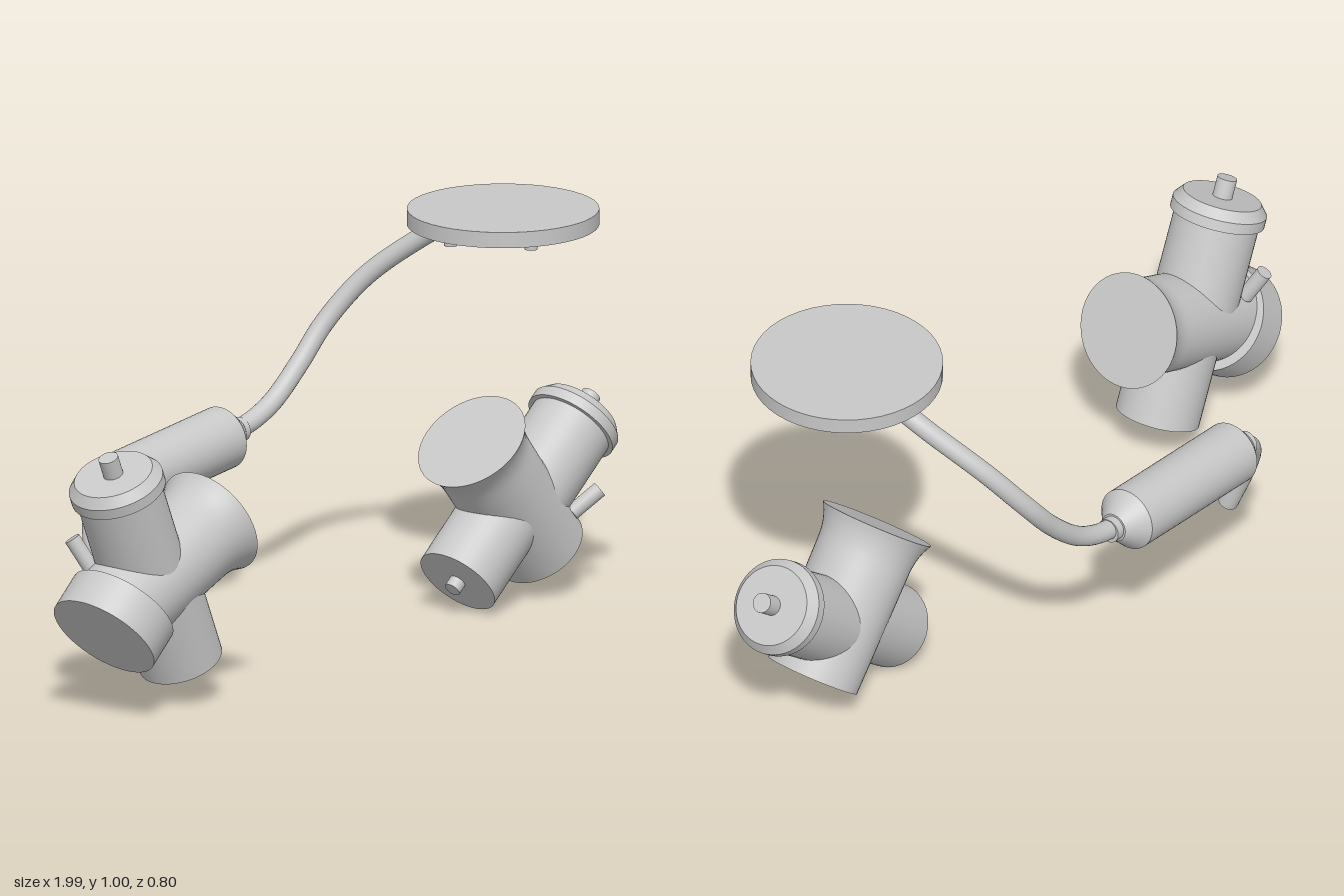
import * as THREE from 'three';

const metal = new THREE.MeshStandardMaterial({ color: 0xc8c8c8 });
metal.name = 'light grey metal';

const V = (x, y, z) => new THREE.Vector3(x, y, z);

function add(parent, name, geometry) {
  const mesh = new THREE.Mesh(geometry, metal);
  mesh.name = name;
  parent.add(mesh);
  return mesh;
}

// Cylinder or cone running from point a (radius ra) to point b (radius rb)
function rod(parent, name, a, b, ra, rb = ra) {
  const dir = b.clone().sub(a);
  const mesh = add(parent, name, new THREE.CylinderGeometry(rb, ra, dir.length(), 48));
  mesh.position.copy(a).add(b).multiplyScalar(0.5);
  mesh.quaternion.setFromUnitVectors(V(0, 1, 0), dir.normalize());
  return mesh;
}

// Bent pipe with closed ends
function pipe(parent, name, points, radius) {
  const curve = new THREE.CatmullRomCurve3(points);
  add(parent, name, new THREE.TubeGeometry(curve, 48, radius, 24));
  for (const t of [0, 1]) {
    const cap = add(parent, name + 'End', new THREE.CircleGeometry(radius, 24));
    cap.position.copy(points[t ? points.length - 1 : 0]);
    const out = curve.getTangent(t).multiplyScalar(t ? 1 : -1);
    cap.quaternion.setFromUnitVectors(V(0, 0, 1), out);
  }
}

// Carburettor: bore along x with the bell at +x, slide chamber up, float bowl down
function carburettor(name, withFlange) {
  const g = new THREE.Group();
  g.name = name;
  rod(g, 'bore', V(-0.174, 0, 0), V(0.14, 0, 0), 0.119, 0.122);

  // Flared bell with a flat closed face
  const flare = new THREE.SplineCurve([
    [0.122, 0], [0.123, 0.025], [0.127, 0.05], [0.135, 0.075], [0.145, 0.095],
  ].map(([r, y]) => new THREE.Vector2(r, y))).getPoints(12);
  const bell = add(g, 'bell', new THREE.LatheGeometry(flare, 48));
  bell.rotation.z = -Math.PI / 2;
  bell.position.x = 0.14;
  const face = add(g, 'bellFace', new THREE.CircleGeometry(0.145, 48));
  face.rotation.y = Math.PI / 2;
  face.position.x = 0.235;

  // Slide chamber with its stepped cap and cable stub
  const dx = -0.033;
  rod(g, 'slideChamber', V(dx, 0, 0), V(dx, 0.28, 0), 0.108);
  rod(g, 'capRim', V(dx, 0.272, 0), V(dx, 0.3, 0), 0.12);
  rod(g, 'capTop', V(dx, 0.3, 0), V(dx, 0.325, 0), 0.12, 0.1);
  rod(g, 'cableStub', V(dx, 0.32, 0), V(dx, 0.375, 0), 0.025);

  // Float bowl and drain plug
  rod(g, 'floatBowl', V(0, -0.26, 0), V(0, 0, 0), 0.106);
  rod(g, 'drainPlug', V(0, -0.287, 0), V(0, -0.25, 0), 0.021);

  // Slanted fuel spigot
  rod(g, 'fuelSpigot', V(-0.118, 0.08, -0.085), V(-0.113, 0.16, -0.125), 0.02);

  // Angled mounting flange
  if (withFlange) {
    rod(g, 'mountingFlange', V(-0.132, -0.006, 0), V(-0.225, -0.036, 0), 0.142);
  }
  return g;
}

export function createModel() {
  const model = new THREE.Group();
  model.name = 'engineParts';

  // Round cover plate with six bolts below
  const cover = new THREE.Group();
  cover.name = 'cover';
  cover.position.set(0.631, 0, 0.16);
  model.add(cover);
  rod(cover, 'coverPlate', V(0, 0.97, 0), V(0, 1.01, 0), 0.238);
  for (let i = 0; i < 6; i++) {
    const a = i * Math.PI / 3;
    const x = 0.202 * Math.cos(a), z = 0.202 * Math.sin(a);
    rod(cover, 'coverBolt', V(x, 0.955, z), V(x, 0.975, z), 0.016);
  }

  // Exhaust: header pipe, silencer and tail pipe
  const exhaust = new THREE.Group();
  exhaust.name = 'exhaust';
  model.add(exhaust);
  pipe(exhaust, 'headerPipe', [
    V(0.637, 0.953, 0), V(0.615, 0.9, -0.085), V(0.55, 0.79, -0.215), V(0.475, 0.675, -0.285),
    V(0.4, 0.582, -0.304), V(0.31, 0.502, -0.313), V(0.235, 0.466, -0.318), V(0.16, 0.45, -0.32),
  ], 0.025);
  const axis = (x) => V(x, 0.433 + 0.1 * x, -0.32);
  const profile = [[-0.36, 0.03], [-0.336, 0.03], [-0.336, 0.043], [-0.296, 0.08],
    [0.122, 0.08], [0.174, 0.036], [0.174, 0.031], [0.196, 0.031]];
  for (let i = 0; i + 1 < profile.length; i++) {
    const [x0, r0] = profile[i], [x1, r1] = profile[i + 1];
    if (x1 > x0) rod(exhaust, 'silencerSection', axis(x0), axis(x1), r0, r1);
  }
  pipe(exhaust, 'tailPipe', [
    V(-0.33, 0.4, -0.32), V(-0.37, 0.38, -0.313), V(-0.415, 0.32, -0.288),
    V(-0.435, 0.23, -0.25), V(-0.425, 0.12, -0.207),
  ], 0.025);

  // Two carburettors facing opposite ways
  const right = carburettor('rightCarburettor', true);
  right.position.set(-0.711, 0.346, 0.16);
  right.rotation.z = THREE.MathUtils.degToRad(23);
  model.add(right);

  const left = carburettor('leftCarburettor', false);
  left.position.set(0.658, 0.255, 0.16);
  left.rotation.set(0, Math.PI, THREE.MathUtils.degToRad(-51), 'ZYX');
  model.add(left);

  return model;
}
